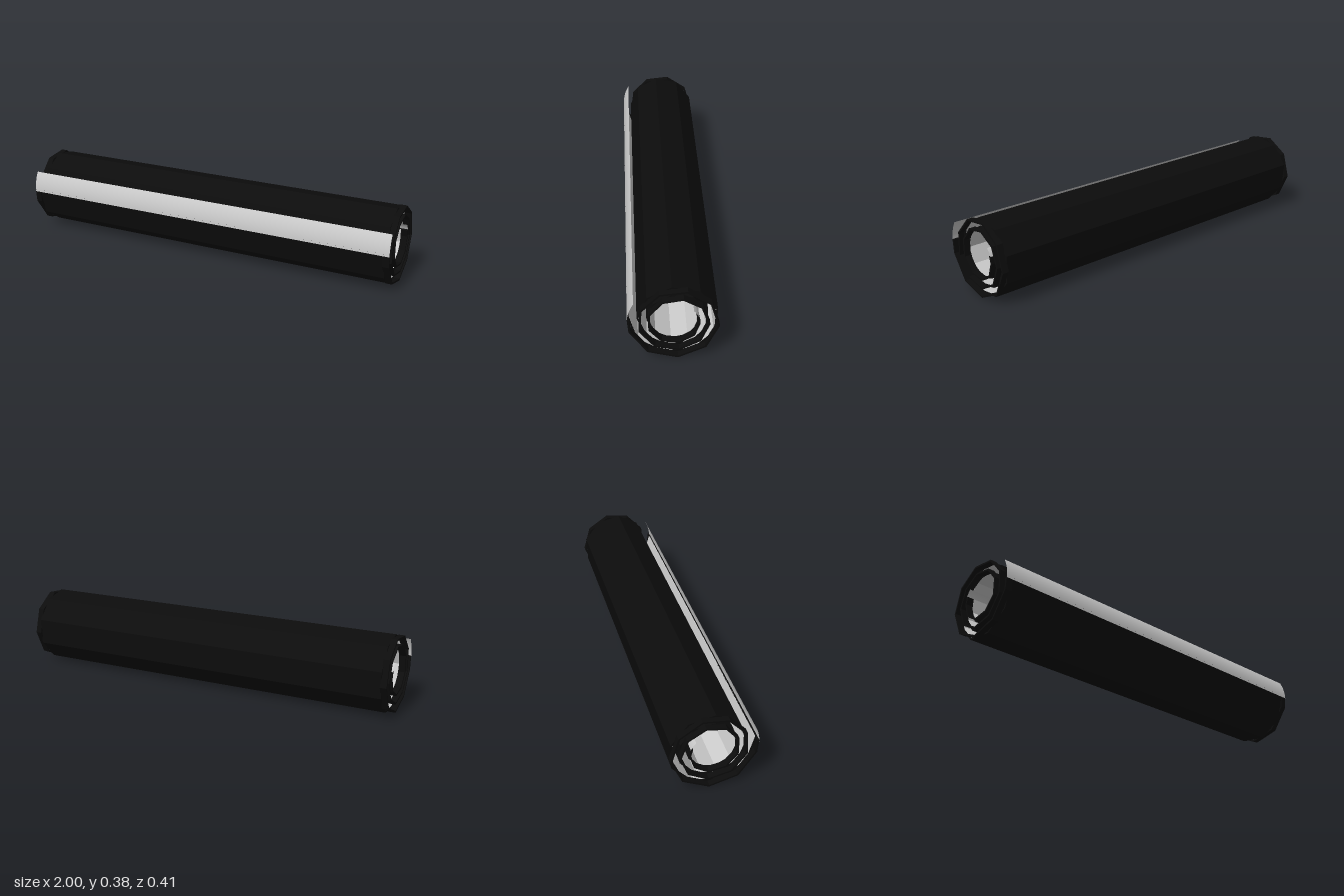
import * as THREE from 'three';

const RAD = Math.PI / 180;
const STEP = 40.26; // degrees per flat facet of the roll
const CENTRE = { u: 0.0116, y: 0.206 };

// Point on the spiral; angle in degrees, inset towards the axis
function spiralPoint(angle, inset) {
  const r = 0.2143 - 0.0429 * (angle - 180) / 360 - inset;
  return new THREE.Vector2(
    CENTRE.u + r * Math.cos(angle * RAD),
    CENTRE.y + r * Math.sin(angle * RAD)
  );
}

// Evenly spaced angles from a to b
function angles(a, b, segments) {
  return Array.from({ length: segments + 1 }, (_, i) => a + (b - a) * i / segments);
}

// Rolled ribbon of given radial thickness, running along x from x0 to x1
function ribbon(name, list, outer, inner, x0, x1, material) {
  const outline = list.map(a => spiralPoint(a, outer));
  outline.push(...list.map(a => spiralPoint(a, inner)).reverse());
  const geometry = new THREE.ExtrudeGeometry(new THREE.Shape(outline), {
    depth: x1 - x0, bevelEnabled: false,
  });
  geometry.translate(0, 0, x0);
  geometry.rotateY(Math.PI / 2);
  const mesh = new THREE.Mesh(geometry, material);
  mesh.name = name;
  return mesh;
}

// Smoothly curved thin flap at a free edge of the sheet
function flap(name, a, b, material) {
  const n = 12;
  const geometry = new THREE.PlaneGeometry(2, 1, 1, n);
  const pos = geometry.attributes.position;
  for (let i = 0; i < pos.count; i++) {
    const p = spiralPoint(a + (b - a) * (pos.getY(i) + 0.5), 0);
    pos.setXYZ(i, pos.getX(i), p.y, -p.x);
  }
  geometry.computeVertexNormals();
  const mesh = new THREE.Mesh(geometry, material);
  mesh.name = name;
  return mesh;
}

export function createModel() {
  const group = new THREE.Group();
  group.name = 'rolledSheet';

  const grey = new THREE.MeshStandardMaterial({ color: 0xcccccc, side: THREE.DoubleSide });
  const black = new THREE.MeshStandardMaterial({ color: 0x0c0c0c });

  // Black backing with the grey lining on its inner face
  const start = 174, end = start + 23 * STEP;
  const body = angles(start, end, 23);
  group.add(ribbon('backing', body, 0, 0.008, -0.972, 0.972, black));
  group.add(ribbon('lining', body, 0.006, 0.0087, -0.968, 0.968, grey));

  // Black hems at both ends, their facets staggered against the backing
  const hem = [start, ...body.slice(0, -1).map(a => a + STEP * 0.46), end];
  group.add(ribbon('leftHem', hem, 0, 0.009, 0.968, 1, black));
  group.add(ribbon('rightHem', hem, 0, 0.009, -1, -0.968, black));

  // Free edges of the grey sheet, outside and inside the roll
  group.add(flap('outerFlap', 148, start + 3, grey));
  group.add(flap('innerFlap', end - 3, 1121, grey));

  return group;
}
